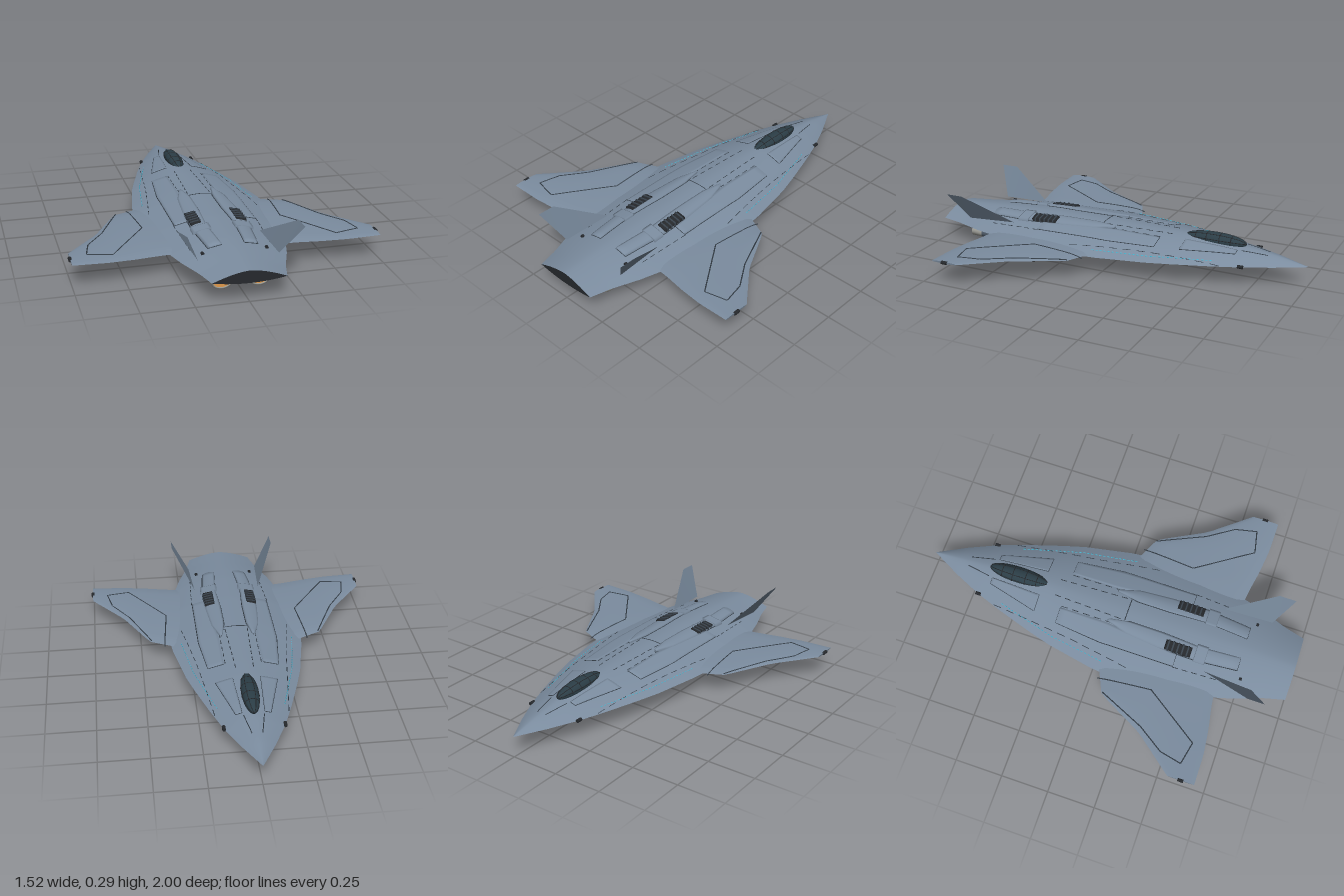
import * as THREE from 'three';

const mat = (color, side = THREE.FrontSide) => new THREE.MeshStandardMaterial({ color, side });
const SKIN = mat(0x7b8c9f), BELLY = mat(0x1b1c1e), DARK = mat(0x26292d), LINE = mat(0x3a444e);
const POD = mat(0x4d5966), METAL = mat(0x9a9a94), GLOW = mat(0xe09a4c), CYAN = mat(0x49c3e0);
const GLASS = mat(0x2b3d46), FIN = mat(0x6f7f90, THREE.DoubleSide);
const lerp = THREE.MathUtils.lerp;

// Piecewise linear lookup: keys are [z, a, b, ...]
function at(keys, z, i) {
  let k = 0;
  while (k < keys.length - 2 && z > keys[k + 1][0]) k++;
  const a = keys[k], b = keys[k + 1];
  return lerp(a[i], b[i], THREE.MathUtils.clamp((z - a[0]) / (b[0] - a[0]), 0, 1));
}

// Hull stations: z, half width, top height, bottom height
const HULL = [
  [-1, 0.001, 0.112, 0.11], [-0.85, 0.08, 0.142, 0.097], [-0.7, 0.148, 0.163, 0.087], [-0.56, 0.198, 0.176, 0.08],
  [-0.37, 0.258, 0.187, 0.073], [-0.25, 0.292, 0.189, 0.07], [0, 0.34, 0.19, 0.066], [0.1, 0.35, 0.19, 0.065],
  [0.4, 0.33, 0.187, 0.066], [0.65, 0.283, 0.178, 0.072], [0.75, 0.255, 0.172, 0.077], [0.89, 0.203, 0.162, 0.087], [1, 0.175, 0.155, 0.094],
];
// Wing stations: x, leading edge z, trailing edge z, middle height, half thickness
const WING = [
  [0.25, 0, 0.643, 0.111, 0.018], [0.345, 0.05, 0.655, 0.114, 0.017], [0.455, 0.1, 0.675, 0.117, 0.014],
  [0.585, 0.345, 0.69, 0.121, 0.01], [0.75, 0.55, 0.692, 0.126, 0.005],
];
const EDGE = 0.11;

function hullY(x, z, side) {
  const u = Math.min(1, Math.abs(x) / at(HULL, z, 1));
  return lerp(EDGE, at(HULL, z, side), 1 - u ** (side === 2 ? 1.6 : 2));
}
function wingY(x, z, dir) {
  const le = at(WING, x, 1), te = at(WING, x, 2);
  const t = THREE.MathUtils.clamp((z - le) / (te - le), 0, 1);
  return at(WING, x, 3) + dir * at(WING, x, 4) * Math.sqrt(Math.sin(Math.PI * t) + 1e-9);
}
function skinY(x, z) {
  const a = Math.abs(x);
  const onWing = a > 0.25 && z > at(WING, a, 1) && z < at(WING, a, 2);
  return Math.max(hullY(x, z, 2), onWing ? wingY(a, z, 1) : 0);
}

// Surface through rows of points; s = -1 mirrors it in x
function sheet(rows, s = 1, flip = false) {
  const n = rows[0].length, pos = [], idx = [];
  rows.forEach(r => r.forEach(p => pos.push(p[0] * s, p[1], p[2])));
  for (let r = 0; r < rows.length - 1; r++) for (let c = 0; c < n - 1; c++) {
    const a = r * n + c, b = a + n;
    if ((s < 0) !== flip) idx.push(a, a + 1, b, a + 1, b + 1, b);
    else idx.push(a, b, a + 1, a + 1, b, b + 1);
  }
  const g = new THREE.BufferGeometry();
  g.setAttribute('position', new THREE.Float32BufferAttribute(pos, 3));
  g.setIndex(idx);
  g.computeVertexNormals();
  return g;
}
const range = (n, f) => Array.from({ length: n + 1 }, (_, i) => f(i / n));

export function createModel() {
  const root = new THREE.Group();
  root.name = 'aircraft';
  const add = (name, geo, material, parent = root) => {
    const m = new THREE.Mesh(geo, material);
    m.name = name;
    parent.add(m);
    return m;
  };

  // Blended hull: light upper shell, dark belly, dark tail face
  const hullRow = (z, side) => range(32, t => {
    const x = at(HULL, z, 1) * (2 * t - 1);
    return [x, hullY(x, z, side), z];
  });
  const shell = side => range(80, t => hullRow(2 * t - 1, side));
  add('upperHull', sheet(shell(2)), SKIN);
  add('belly', sheet(shell(3), 1, true), BELLY);
  add('tailFace', sheet([hullRow(1, 2), hullRow(1, 3)]), DARK);

  // Thin line draped over the skin, optionally dashed
  function drape(name, pts, material, r = 0.0022, dash = 0) {
    const group = new THREE.Group();
    group.name = name;
    root.add(group);
    for (let i = 0; i < pts.length - 1; i++) {
      const [x0, z0] = pts[i], [x1, z1] = pts[i + 1];
      const count = dash ? Math.max(1, Math.round(Math.hypot(x1 - x0, z1 - z0) / dash)) : 1;
      for (let d = 0; d < count; d++) {
        const curve = new THREE.CatmullRomCurve3(range(6, t => {
          const k = (d + t * (dash ? 0.6 : 1)) / count, x = lerp(x0, x1, k), z = lerp(z0, z1, k);
          return new THREE.Vector3(x, skinY(x, z) + 0.001, z);
        }));
        add('line', new THREE.TubeGeometry(curve, 8, r, 4), material, group);
      }
    }
  }

  // Raised plate following the skin: spans are [z, inner x, outer x]
  function plate(name, spans, raise, s, material = SKIN, crown = 0) {
    const z0 = spans[0][0], z1 = spans[spans.length - 1][0];
    const row = (z, h) => {
      const a = at(spans, z, 1), b = at(spans, z, 2);
      const mid = range(8, t => {
        const x = lerp(a, b, t);
        return [x, skinY(x, z) + h * (1 + crown * Math.sin(Math.PI * t)), z];
      });
      return [[a, skinY(a, z) - 0.004, z], ...mid, [b, skinY(b, z) - 0.004, z]];
    };
    const rows = [row(z0, -0.004), ...range(20, t => row(lerp(z0, z1, t), raise)), row(z1, -0.004)];
    add(name, sheet(rows, s), material);
  }

  const ring = (cx, cy, rx, ry, z) => range(24, t => {
    const a = t * Math.PI * 2;
    return [cx - rx * Math.cos(a), cy + ry * Math.sin(a), z];
  });

  for (const s of [1, -1]) {
    const side = s > 0 ? 'left' : 'right';
    const mir = pts => pts.map(([x, z]) => [x * s, z]);

    // Wing: upper and lower skins from leading to trailing edge
    const wing = dir => range(16, t => range(20, k => {
      const x = lerp(0.25, 0.75, k), z = lerp(at(WING, x, 1), at(WING, x, 2), t);
      return [x, wingY(x, z, dir), z];
    }));
    add(side + 'WingTop', sheet(wing(1), s), SKIN);
    add(side + 'WingUnderside', sheet(wing(-1), s, true), BELLY);
    add(side + 'WingTip', sheet(range(16, t => [1, -1].map(d => {
      const z = lerp(0.55, 0.692, t);
      return [0.75, wingY(0.75, z, d), z];
    })), s), FIN);
    drape(side + 'WingPanelLine', mir([[0.38, 0.05], [0.355, 0.335], [0.55, 0.62], [0.67, 0.595], [0.645, 0.48], [0.555, 0.345], [0.445, 0.1]]), LINE, 0.003);

    // Canted tail fin
    add(side + 'TailFin', sheet([
      [[0.18, 0.155, 0.56], [0.288, 0.296, 0.81]],
      [[0.193, 0.145, 0.82], [0.288, 0.296, 0.9]],
    ], s), FIN);

    // Dorsal engine hump, spine plates and dark vent
    plate(side + 'DorsalHump', [[0.01, 0.078, 0.092], [0.12, 0.06, 0.125], [0.3, 0.06, 0.14], [0.5, 0.07, 0.14], [0.72, 0.055, 0.12]], 0.008, s, SKIN, 0.6);
    plate(side + 'HumpCollar', [[0.49, 0.06, 0.15], [0.55, 0.06, 0.15]], 0.014, s);
    plate(side + 'Vent', [[0.33, 0.09, 0.14], [0.47, 0.09, 0.14]], 0.017, s, DARK);
    for (let i = 0; i < 5; i++) {
      const z = 0.342 + i * 0.026;
      plate(side + 'VentSlat', [[z, 0.088, 0.142], [z + 0.008, 0.088, 0.142]], 0.02, s, LINE);
    }
    plate(side + 'ShoulderPlate', [[-0.25, 0.1, 0.18], [0, 0.1, 0.205], [0.4, 0.145, 0.205]], 0.005, s);
    plate(side + 'CockpitPlate', [[-0.65, 0.055, 0.085], [-0.38, 0.07, 0.155]], 0.004, s);

    // Panel lines
    drape(side + 'CockpitPanelLine', mir([[0.055, -0.65], [0.085, -0.65], [0.155, -0.38], [0.07, -0.38], [0.055, -0.65]]), LINE);
    drape(side + 'ShoulderPanelLine', mir([[0.1, -0.25], [0.18, -0.25], [0.207, 0], [0.207, 0.4], [0.145, 0.4]]), LINE);
    drape(side + 'HumpLine', mir([[0.055, 0.72], [0.07, 0.5], [0.058, 0.3], [0.058, 0.12], [0.085, 0.005], [0.128, 0.12], [0.143, 0.3], [0.143, 0.5], [0.122, 0.72], [0.055, 0.72]]), LINE);
    drape(side + 'SpineLine', mir([[0.045, -0.3], [0.06, 0.09]]), LINE, 0.0022, 0.06);
    drape(side + 'InnerSpineLine', mir([[0.092, -0.25], [0.098, 0.6]]), LINE, 0.002, 0.06);
    drape(side + 'FlankLine', mir([[0.18, -0.6], [0.235, -0.15], [0.29, 0.2]]), LINE, 0.0018, 0.07);
    drape(side + 'NoseLine', mir([[0.025, -0.8], [0.05, -0.67]]), LINE);
    drape(side + 'RearLine', mir([[0.21, 0.4], [0.195, 0.7]]), LINE, 0.002, 0.05);
    drape(side + 'LightStrip', mir([[0.165, -0.56], [0.25, -0.25], [0.295, 0.05]]), CYAN, 0.0022, 0.022);

    // Small sensors on the nose edge, rear deck and wing tip
    for (const [name, x, y, z, r, l] of [['NoseSensor', 0.147, 0.112, -0.7, 0.009, 0.028],
      ['TipPod', 0.75, 0.126, 0.62, 0.009, 0.03], ['DeckSensor', 0.155, 0.148, 0.75, 0.008, 0.014]]) {
      const g = new THREE.CylinderGeometry(r, r, l, 12).rotateX(Math.PI / 2);
      add(side + name, g, DARK).position.set(x * s, y, z);
    }

    // Engine pod beneath the belly with nozzle and glowing exhaust
    const POD_KEYS = [[0, 0.003, 0.003, 0.058], [0.1, 0.022, 0.013, 0.052], [0.25, 0.042, 0.027, 0.046], [0.42, 0.056, 0.035, 0.042], [0.6, 0.06, 0.037, 0.04], [0.79, 0.056, 0.035, 0.041]];
    const cx = z => lerp(0.06, 0.09, Math.min(1, z / 0.45));
    add(side + 'EnginePod', sheet(range(40, t => {
      const z = t * 0.79;
      return ring(cx(z), at(POD_KEYS, z, 3), at(POD_KEYS, z, 1), at(POD_KEYS, z, 2), z);
    }), s), POD);
    add(side + 'Nozzle', sheet([[0.054, 0.034, 0.78], [0.05, 0.032, 0.855], [0.04, 0.025, 0.855], [0.036, 0.022, 0.84]]
      .map(([rx, ry, z]) => ring(0.09, 0.041, rx, ry, z)), s), METAL);
    add(side + 'ExhaustGlow', new THREE.CircleGeometry(1, 24).scale(0.041, 0.026, 1), GLOW).position.set(0.09 * s, 0.041, 0.852);
    add(side + 'PodPylon', new THREE.BoxGeometry(0.05, 0.03, 0.5), DARK).position.set(0.09 * s, 0.07, 0.5);
  }

  // Central ventral pod
  add('ventralPod', sheet([[0.15, 0.002], [0.25, 0.013], [0.4, 0.019], [0.74, 0.019], [0.8, 0.014], [0.8, 0.001]]
    .map(([z, r]) => ring(0, 0.042, r, r, z))), DARK);
  add('ventralKeel', new THREE.BoxGeometry(0.016, 0.03, 0.4), DARK).position.set(0, 0.065, 0.5);

  // Cross line on the spine
  drape('spineCrossLine', [[-0.06, 0.09], [0.06, 0.09]], LINE);

  // Canopy with hoops and lengthwise ribs
  const canopy = new THREE.Group();
  canopy.name = 'canopy';
  canopy.position.set(0, 0.174, -0.515);
  root.add(canopy);
  add('canopyGlass', new THREE.SphereGeometry(1, 32, 20).scale(0.043, 0.038, 0.165), GLASS, canopy);
  for (const z of [-0.09, -0.03, 0.04, 0.1]) {
    const k = Math.sqrt(1 - (z / 0.165) ** 2);
    const g = new THREE.TorusGeometry(1, 0.05, 6, 24, Math.PI).scale(0.043 * k, 0.038 * k, 0.045);
    add('canopyHoop', g, DARK, canopy).position.z = z;
  }
  for (const a of [-1.25, -0.5, 0.5, 1.25]) {
    const curve = new THREE.CatmullRomCurve3(range(16, t => {
      const b = Math.PI * t, r = Math.sin(b);
      return new THREE.Vector3(0.043 * Math.sin(a) * r, 0.038 * Math.cos(a) * r, -0.165 * Math.cos(b));
    }));
    add('canopyRib', new THREE.TubeGeometry(curve, 24, 0.002, 5), DARK, canopy);
  }
  return root;
}
